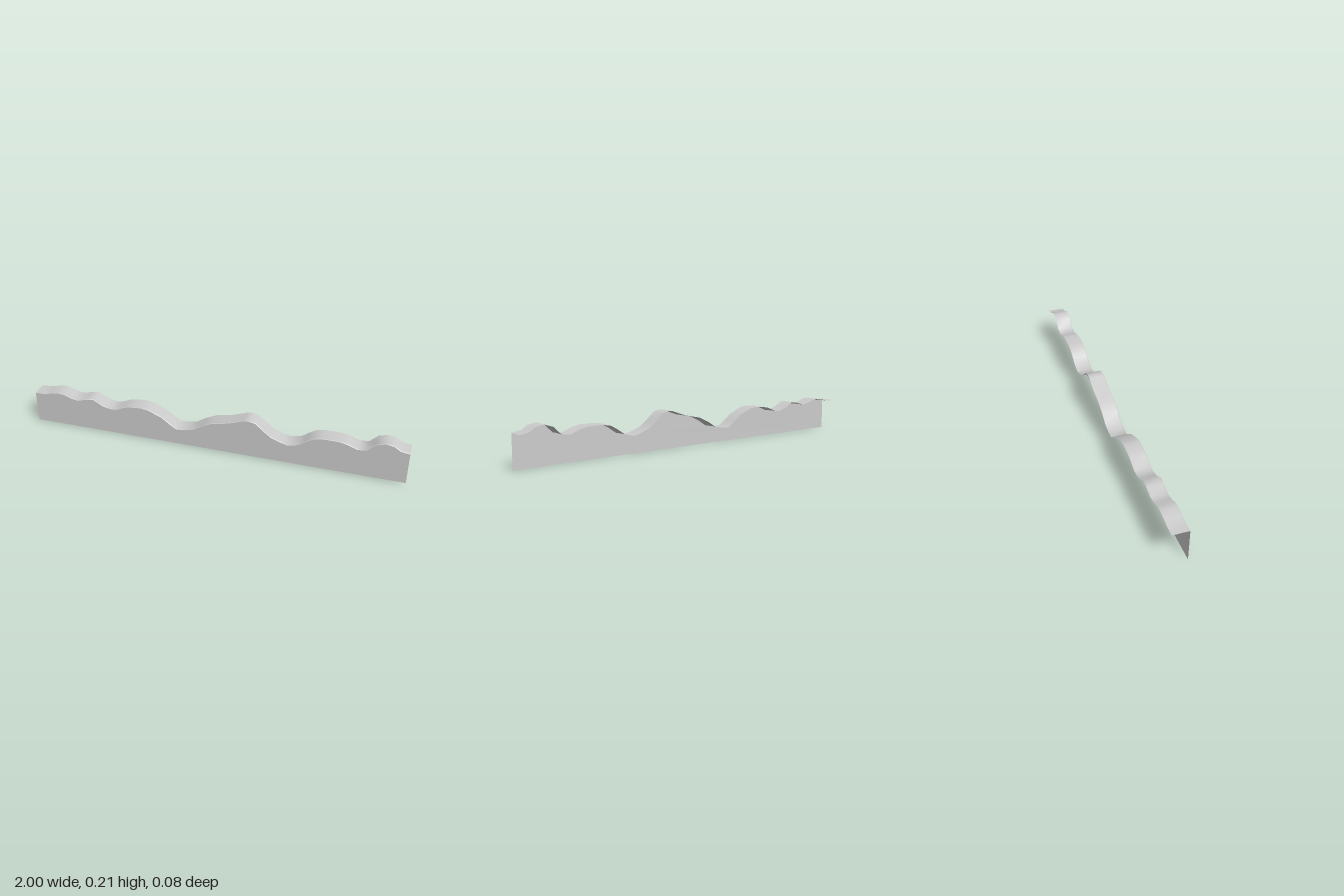
import * as THREE from 'three';

const HALF_DEPTH = 0.042;
const LIP_DEPTH = 0.003;
const LIP_DROP = 0.003;

// Hill outline as [x, y], from left to right
const OUTLINE = [
  [-1, 0.172], [-0.95, 0.172], [-0.91, 0.182], [-0.865, 0.19], [-0.83, 0.187], [-0.79, 0.172],
  [-0.75, 0.165], [-0.70, 0.18], [-0.66, 0.186], [-0.605, 0.156], [-0.57, 0.147], [-0.535, 0.146],
  [-0.48, 0.17], [-0.44, 0.178], [-0.39, 0.182], [-0.35, 0.177], [-0.275, 0.146], [-0.235, 0.116],
  [-0.195, 0.089], [-0.15, 0.092], [-0.105, 0.101], [-0.055, 0.133], [0, 0.159], [0.09, 0.178],
  [0.17, 0.207], [0.195, 0.21], [0.23, 0.202], [0.28, 0.16], [0.315, 0.134], [0.36, 0.117],
  [0.40, 0.106], [0.455, 0.119], [0.49, 0.144], [0.53, 0.168], [0.575, 0.177], [0.66, 0.177],
  [0.70, 0.168], [0.75, 0.149], [0.795, 0.155], [0.835, 0.194], [0.88, 0.208], [0.92, 0.202],
  [0.955, 0.18], [1, 0.173],
];

// Strip that follows the outline between a back and a front edge, each [z, drop]
function strip(name, back, front, material) {
  const positions = [];
  const index = [];
  OUTLINE.forEach(([x, y], i) => {
    for (const [z, drop] of [back, front]) positions.push(x, y - drop, z);
    if (i > 0) {
      const a = 2 * (i - 1);
      index.push(a, a + 1, a + 3, a, a + 3, a + 2);
    }
  });
  const geometry = new THREE.BufferGeometry();
  geometry.setAttribute('position', new THREE.Float32BufferAttribute(positions, 3));
  geometry.setIndex(index);
  geometry.computeVertexNormals();
  const mesh = new THREE.Mesh(geometry, material);
  mesh.name = name;
  return mesh;
}

export function createModel() {
  const group = new THREE.Group();
  group.name = 'hillyTerrain';
  const material = new THREE.MeshStandardMaterial({ color: 0xcccccc, side: THREE.DoubleSide });

  // Ground surface and the narrow lip along its front edge
  const edge = HALF_DEPTH - LIP_DEPTH;
  group.add(strip('groundSurface', [-HALF_DEPTH, 0], [edge, 0], material));
  group.add(strip('groundLip', [edge, 0], [HALF_DEPTH, LIP_DROP], material));

  // Flat front face below the ground
  const shape = new THREE.Shape([
    new THREE.Vector2(-1, 0),
    new THREE.Vector2(1, 0),
    ...OUTLINE.map(([x, y]) => new THREE.Vector2(x, y - LIP_DROP)).reverse(),
  ]);
  const face = new THREE.Mesh(new THREE.ShapeGeometry(shape), material);
  face.name = 'frontFace';
  face.position.z = HALF_DEPTH;
  group.add(face);

  return group;
}
